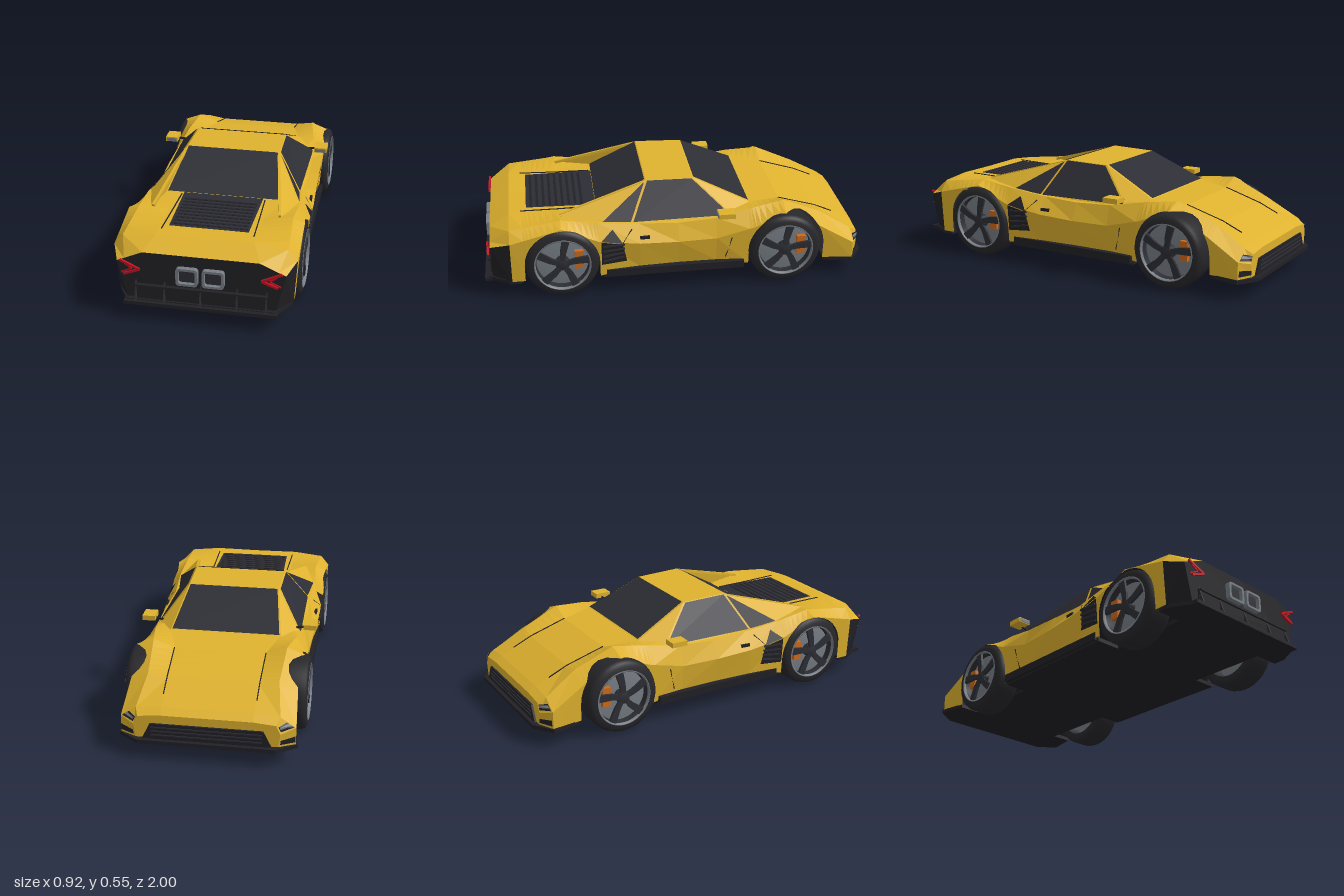
import * as THREE from 'three';

const mat = (name, color, side = THREE.FrontSide) => {
  const m = new THREE.MeshStandardMaterial({ color, side });
  m.name = name;
  return m;
};
const D = THREE.DoubleSide;
const paint = mat('yellow paint', 0xdeb12e);
const trim = mat('black trim', 0x212126, D);
const glass = mat('dark glass', 0x2d2d35, D);
const rubber = mat('tyre rubber', 0x27272b, D);
const rimMat = mat('dark rim', 0x2d2e34, D);
const steel = mat('steel', 0x767d84, D);
const orange = mat('orange caliper', 0xc96a1e);
const red = mat('red lamp', 0xc01020);
const liner = mat('liner', 0x212126, THREE.BackSide);

// Body stations: z, then half profile (x, y): sill, crease, shoulder, deck edge, centre
const STATIONS = [
  [-0.97, .34, .10, .35, .17, .33, .215, .22, .225, 0, .225],
  [-0.93, .42, .10, .42, .19, .345, .24, .22, .25, 0, .25],
  [-0.76, .40, .10, .41, .29, .32, .34, .225, .325, 0, .325],
  [-0.56, .41, .10, .43, .388, .335, .425, .23, .385, 0, .385],
  [-0.39, .41, .10, .425, .32, .365, .405, .28, .40, 0, .40],
  [-0.2, .40, .13, .42, .27, .385, .37, .30, .385, 0, .39],
  [0, .40, .13, .43, .27, .39, .36, .30, .375, 0, .385],
  [.2, .41, .13, .44, .28, .38, .365, .31, .385, 0, .385],
  [.41, .43, .10, .445, .31, .395, .39, .31, .395, 0, .39],
  [.6, .43, .10, .443, .39, .385, .414, .24, .394, 0, .39],
  [.86, .43, .10, .445, .325, .40, .38, .24, .398, 0, .396],
  [.96, .36, .10, .405, .295, .37, .31, .28, .35, 0, .35],
];
const HUB = 0.19;
const WHEELS = [
  { name: 'frontWheel', z: -.56, archZ: -.573, arch: .201 },
  { name: 'rearWheel', z: .6, archZ: .6, arch: .192 },
];

function profile(z) {
  let k = 0;
  while (k < STATIONS.length - 2 && z > STATIONS[k + 1][0]) k++;
  const a = STATIONS[k], b = STATIONS[k + 1], t = (z - a[0]) / (b[0] - a[0]);
  const v = a.map((n, i) => n + (b[i] - n) * t);
  return [0, 1, 2, 3, 4].map(i => [v[1 + 2 * i], v[2 + 2 * i], z]);
}
// Body half width at a given height
function sideX(z, y, p = profile(z)) {
  for (let i = 0; i < 3; i++) if (y <= p[i + 1][1]) {
    return p[i][0] + (p[i + 1][0] - p[i][0]) * (y - p[i][1]) / (p[i + 1][1] - p[i][1]);
  }
  return p[3][0];
}
// Profile with its lower edge raised to the wheel arch
function cutProfile(z) {
  const p = profile(z), w = WHEELS.find(c => Math.abs(z - c.archZ) <= c.arch);
  if (!w) return p;
  const y = HUB + Math.sqrt(w.arch ** 2 - (z - w.archZ) ** 2);
  return p.map(q => q[1] < y && q[0] > 0.3 ? [sideX(z, y, p), y, z] : q);
}
function triMesh(name, pos, material) {
  const g = new THREE.BufferGeometry();
  g.setAttribute('position', new THREE.Float32BufferAttribute(pos, 3));
  g.computeVertexNormals();
  const m = new THREE.Mesh(g, material);
  m.name = name;
  return m;
}
const flip = p => [-p[0], p[1], p[2]];
const shape = pts => new THREE.Shape(pts.map(p => new THREE.Vector2(...p)));
const extrude = (name, s, depth, material) => {
  const m = new THREE.Mesh(new THREE.ExtrudeGeometry(s, { depth, bevelEnabled: false }), material);
  m.name = name;
  return m;
};

// Flat polygon facing away from the car's middle, optionally shrunk and lifted
function panel(name, pts, material, shrink = 1, lift = 0) {
  let v = pts.map(p => new THREE.Vector3(...p));
  const c = v.reduce((s, p) => s.add(p), new THREE.Vector3()).divideScalar(v.length);
  const n = v[1].clone().sub(v[0]).cross(v[2].clone().sub(v[0])).normalize();
  if (n.dot(c.clone().sub(new THREE.Vector3(0, 0.2, c.z * 0.3))) < 0) { v.reverse(); n.negate(); }
  v = v.map(p => p.sub(c).multiplyScalar(shrink).add(c).addScaledVector(n, lift));
  const pos = [];
  for (let i = 1; i < v.length - 1; i++) for (const q of [v[0], v[i], v[i + 1]]) pos.push(q.x, q.y, q.z);
  return triMesh(name, pos, material);
}
function box(name, w, h, d, x, y, z, material) {
  const m = new THREE.Mesh(new THREE.BoxGeometry(w, h, d), material);
  m.position.set(x, y, z);
  m.name = name;
  return m;
}
function bar(name, a, b, t, m) {
  const p = new THREE.Vector3(...a), q = new THREE.Vector3(...b);
  const mesh = box(name, t, t, p.distanceTo(q), 0, 0, 0, m);
  mesh.position.copy(p).add(q).multiplyScalar(0.5);
  mesh.lookAt(q);
  return mesh;
}

function buildWheel() {
  const g = new THREE.Group();
  const lathe = (name, pts, m) => {
    const mesh = new THREE.Mesh(new THREE.LatheGeometry(pts.map(p => new THREE.Vector2(...p)), 40), m);
    mesh.rotation.z = -Math.PI / 2;
    mesh.name = name;
    g.add(mesh);
  };
  lathe('tyre', [[.146, -.068], [.165, -.074], [.182, -.066], [.19, -.045], [.19, .045], [.182, .066], [.165, .074], [.146, .078]], rubber);
  lathe('rimBarrel', [[.14, -.068], [.146, -.068], [.14, 0], [.146, .078]], rimMat);
  lathe('rimLip', [[.146, .078], [.14, .081], [.137, .065]], steel);
  lathe('brakeDisc', [[.03, .02], [.133, .02], [.133, .032], [.03, .032]], steel);
  lathe('hub', [[0, -.02], [.035, -.02], [.035, .066], [.022, .074], [0, .074]], rimMat);
  // Five swept blade spokes, drawn in the wheel plane
  const s = shape([[0, -.012], [.06, -.018], [.138, -.04], [.143, 0], [.07, .012], [0, .012]]);
  for (let i = 0; i < 5; i++) {
    const spoke = extrude('spokeBlade', s, .014, rimMat), holder = new THREE.Group();
    spoke.rotation.y = Math.PI / 2;
    spoke.position.x = .058;
    holder.rotation.x = i * Math.PI * 2 / 5 + .3;
    holder.name = 'spoke';
    holder.add(spoke);
    g.add(holder);
  }
  g.add(box('caliper', .035, .1, .044, .04, .015, -.086, orange));
  return g;
}

// Rounded rectangle outline
function roundRect(path, r, h, c) {
  path.moveTo(-r + c, -h).lineTo(r - c, -h).quadraticCurveTo(r, -h, r, -h + c).lineTo(r, h - c).quadraticCurveTo(r, h, r - c, h);
  return path.lineTo(-r + c, h).quadraticCurveTo(-r, h, -r, h - c).lineTo(-r, -h + c).quadraticCurveTo(-r, -h, -r + c, -h);
}

export function createModel() {
  const car = new THREE.Group();
  car.name = 'sportsCar';
  const both = (name, pts, ...r) => car.add(panel(name, pts, ...r), panel(name, pts.map(flip), ...r));
  const bars = (name, a, b, t, m) => car.add(bar(name, a, b, t, m), bar(name, flip(a), flip(b), t, m));

  // Body shell lofted along z, with round arches
  const zs = STATIONS.map(s => s[0]);
  for (const { archZ, arch } of WHEELS) {
    for (let i = 0; i <= 16; i++) zs.push(archZ - Math.cos(i * Math.PI / 16) * arch * .9999);
    zs.push(archZ - arch * 1.001, archZ + arch * 1.001);
  }
  zs.sort((a, b) => a - b);
  const rings = zs.map(cutProfile), yellow = [], black = [];
  for (let j = 0; j < rings.length - 1; j++) for (let i = 0; i < 4; i++) {
    const a = rings[j][i], b = rings[j + 1][i], c = rings[j + 1][i + 1], d = rings[j][i + 1];
    const out = zs[j] > .85 && i === 0 ? black : yellow;
    out.push(...[a, d, c, a, c, b, a, c, d, a, b, c].flatMap((p, k) => k < 6 ? p : flip(p)));
  }
  car.add(triMesh('bodyShell', yellow, paint), triMesh('bodyInside', yellow, liner), triMesh('rearCorners', black, trim));
  const end = p => [...p, ...p.slice(0, 4).reverse().map(flip)];
  car.add(panel('noseFace', end(profile(-.97)), paint), panel('rearFascia', end(profile(.96)), trim));

  // Flat floor and splitter with wheel notches
  const half = [[.33, -1], [.43, -.93], [.40, -.78], [.29, -.78], [.29, -.35], [.41, -.35], [.42, .39], [.29, .39], [.29, .81], [.425, .81], [.425, .87], [.36, .98]];
  const floor = extrude('floorAndSplitter', shape([...half, ...half.map(p => [-p[0], p[1]]).reverse()]), .02, trim);
  floor.rotation.x = Math.PI / 2;
  floor.position.y = .103;
  car.add(floor);

  // Cabin
  const A = [.285, .402, -.39], F = [.24, .54, -.095], R = [.245, .545, .15], C = [.30, .395, .41];
  const S1 = [.375, .372, -.29], SM = [.368, .362, .24], S2 = [.388, .385, .40], B = [.325, .412, .61];
  car.add(panel('roof', [F, flip(F), flip(R), R], paint));
  for (const [frame, pane, q] of [['windscreenFrame', 'windscreen', [A, flip(A), flip(F), F]], ['rearFrame', 'rearWindow', [R, flip(R), flip(C), C]]]) {
    car.add(panel(frame, q, paint), panel(pane, q, glass, .97, .004));
  }
  both('frontPillar', [A, S1, F], paint);
  both('doorFrame', [S1, SM, R, F], paint);
  both('sideWindow', [S1, SM, R, F], glass, .95, .006);
  both('quarterFrame', [SM, S2, R], paint);
  both('quarterWindow', [SM, S2, R], glass, .92, .004);
  both('buttressOuter', [R, S2, B], paint);
  car.add(triMesh('buttressInner', [R, C, B, ...[R, B, C].map(flip)].flat(), paint));
  bars('buttressRail', [.246, .532, .165], [.318, .41, .6], .014, paint);

  // Engine cover with louvre slots
  car.add(panel('engineCover', [[.205, .396, .41], [-.205, .396, .41], [-.195, .397, .77], [.195, .397, .77]], glass, 1, .004));
  for (let i = 0; i < 9; i++) car.add(box('louvreSlot', .37, .003, .014, 0, .401, .48 + i * .033, trim));

  // Shut lines on bonnet and rear deck
  const deck = (z, x) => [x, profile(z)[3][1] + .001, z];
  bars('bonnetLine', deck(-.86, .225), deck(-.76, .226), .005, trim);
  bars('bonnetLine', deck(-.76, .226), deck(-.56, .23), .005, trim);
  bars('deckLine', deck(.42, .215), deck(.6, .22), .005, trim);
  bars('deckLine', deck(.6, .22), deck(.8, .225), .005, trim);

  // Flank details laid on the body surface
  const on = (z, y, o = 0) => [sideX(z, y) + o, y, z];
  both('intakeLower', [on(.27, .18), on(.29, .285), on(.4, .307), on(.4, .17)], trim, 1, .004);
  both('intakeUpper', [on(.29, .287), on(.34, .355), on(.4, .308)], trim, 1, .004);
  for (let i = 0; i < 4; i++) bars('intakeBlade', on(.28, .21 + i * .025, .004), on(.39, .19 + i * .03, .004), .009, glass);
  bars('doorLine', on(-.28, .27), on(-.25, .15), .005, trim);
  bars('doorLine', on(.29, .29), on(.24, .345), .005, trim);
  bars('doorHandle', on(.15, .305), on(.2, .305), .014, trim);
  bars('mirrorStalk', [.30, .39, -.265], [.41, .405, -.25], .01, trim);
  const frame = roundRect(new THREE.Shape(), .053, .046, .018);
  frame.holes.push(roundRect(new THREE.Path(), .04, .034, .013));
  for (const s of [1, -1]) {
    car.add(box('sideSkirt', .035, .04, .72, s * .415, .113, .015, trim));
    // Mirrors
    car.add(box('mirror', .068, .026, .085, s * .424, .412, -.245, paint));
    car.add(box('mirrorGlass', .056, .018, .005, s * .424, .411, -.201, steel));
    // Wheels
    for (const { name, z } of WHEELS) {
      const w = buildWheel();
      w.name = name;
      w.position.set(s * .374, HUB, z);
      w.scale.x = s;
      car.add(w);
    }
    // Framed exhausts
    const pipe = extrude('exhaust', frame, .03, steel);
    pipe.position.set(s * .063, .248, .955);
    car.add(pipe, box('exhaustCore', .085, .072, .006, s * .063, .248, .963, glass));
  }

  // Arrow-shaped tail lamps
  const lamp = (a, b, c, t) => { bars('tailLamp', a, b, t, red); bars('tailLamp', b, c, t, red); };
  lamp([.388, .308, .972], [.292, .265, .976], [.37, .234, .974], .011);
  lamp([.365, .29, .972], [.33, .266, .974], [.383, .24, .972], .006);

  // Diffuser with upright fins
  car.add(box('diffuserPanel', .64, .085, .02, 0, .135, .96, trim), box('diffuserTop', .64, .008, .03, 0, .177, .965, trim));
  car.add(box('diffuserLip', .74, .018, .05, 0, .09, .975, trim));
  for (const x of [-.315, -.175, 0, .175, .315]) {
    const fin = extrude('diffuserFin', shape([[0, 0], [-.06, 0], [-.022, .115], [0, .115]]), .007, glass);
    fin.rotation.y = Math.PI / 2;
    fin.position.set(x - .0035, .083, .94);
    car.add(fin);
  }

  // Nose grille and headlamps
  const grille = extrude('grille', shape([[-.31, .10], [.31, .10], [.27, .182], [-.27, .182]]), .012, trim);
  grille.position.z = -.98;
  car.add(grille);
  for (let i = 0; i < 3; i++) car.add(box('grilleSlat', .53, .006, .012, 0, .125 + i * .02, -.978, glass));
  both('cornerIntake', [[.344, .115, -.97], [.347, .14, -.97], [.42, .15, -.93], [.42, .115, -.93]], trim, .9, .004);
  both('headlampSurround', [[.346, .18, -.97], [.333, .209, -.97], [.375, .222, -.93], [.418, .194, -.93]], trim, .85, .004);
  both('headlamp', [[.342, .192, -.97], [.336, .206, -.97], [.385, .217, -.93], [.405, .204, -.93]], steel, .8, .007);
  return car;
}
